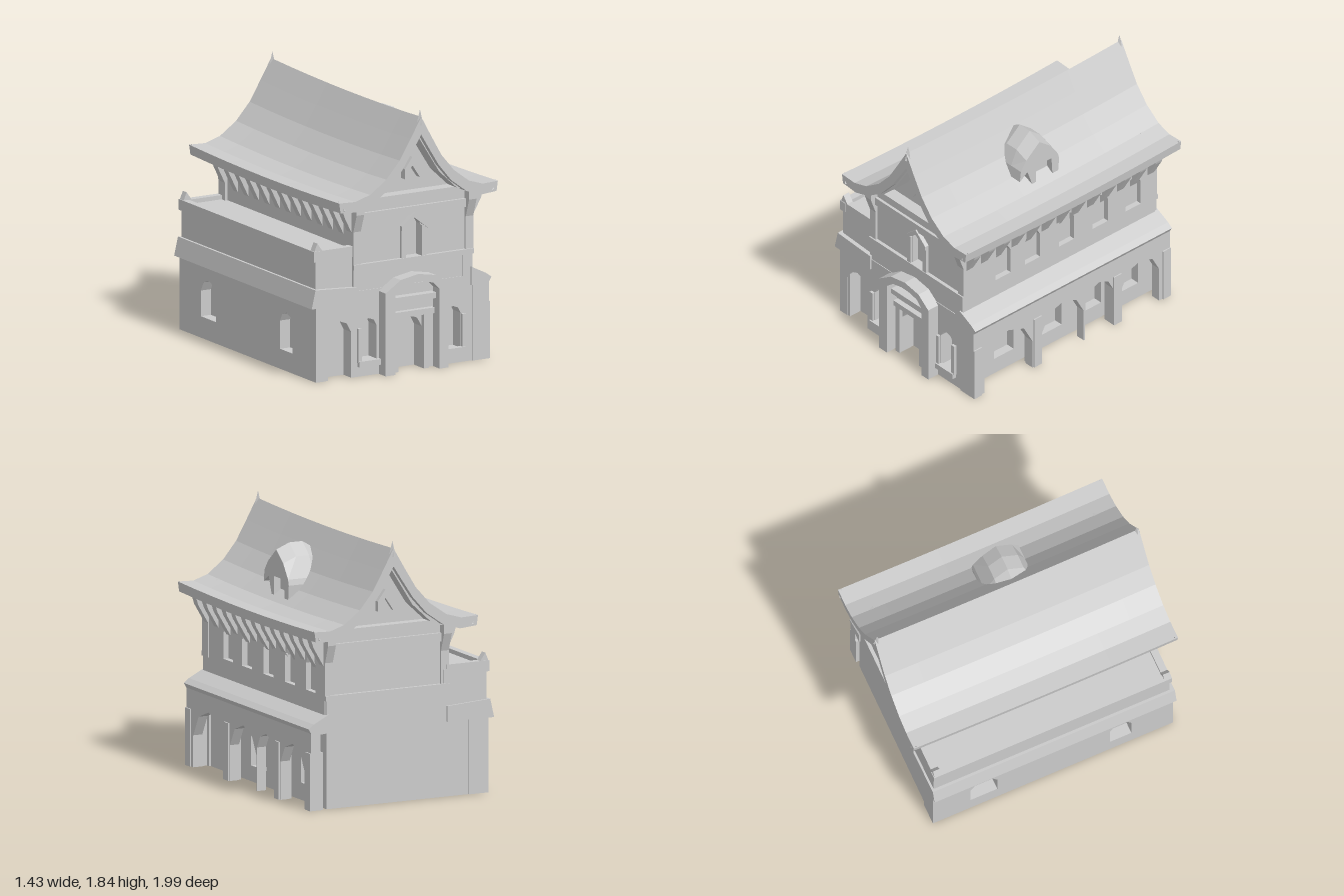
import * as THREE from 'three';

const mat = new THREE.MeshStandardMaterial({ color: 0xcccccc, flatShading: true, side: THREE.DoubleSide });

export function createModel() {
  const root = new THREE.Group();

  const add = (name, geo) => {
    const m = new THREE.Mesh(geo, mat);
    m.name = name;
    root.add(m);
    return m;
  };
  // Box given by its limits
  const box = (name, x0, x1, y0, y1, z0, z1) => {
    const g = new THREE.BoxGeometry(x1 - x0, y1 - y0, z1 - z0);
    g.translate((x0 + x1) / 2, (y0 + y1) / 2, (z0 + z1) / 2);
    return add(name, g);
  };
  const toShape = pts => new THREE.Shape(pts.map(p => new THREE.Vector2(...p)));
  // Outline in x,y drawn out between two z values
  const prism = (name, pts, z0, z1, steps = 1) => {
    const g = new THREE.ExtrudeGeometry(toShape(pts), { depth: z1 - z0, steps, bevelEnabled: false });
    g.translate(0, 0, z0);
    return add(name, g);
  };
  // Move the vertices of a mesh by a rule for y
  const reshape = (mesh, rule) => {
    const p = mesh.geometry.attributes.position;
    for (let i = 0; i < p.count; i++) p.setY(i, rule(p.getY(i), p.getZ(i)));
    return mesh;
  };
  // Arch outline: centre, half width, foot and crown height
  const arch = (c, w, y0, y1) => [
    [c - w, y0], [c - w, y1 - 0.9 * w], [c - 0.65 * w, y1 - 0.25 * w], [c, y1],
    [c + 0.65 * w, y1 - 0.25 * w], [c + w, y1 - 0.9 * w], [c + w, y0]];
  // Wall slab with doorways cut from its foot and window holes.
  // Side 0 faces +z, 1 faces +x (u = -z), -1 faces -x (u = z).
  const wall = (name, side, [u0, u1, y0, y1], from, to, doors, windows) => {
    const s = toShape([[u0, y0], ...doors.flatMap(d => arch(...d)), [u1, y0], [u1, y1], [u0, y1]]);
    s.holes = windows.map(w => toShape(arch(...w)));
    const g = new THREE.ExtrudeGeometry(s, { depth: to - from, bevelEnabled: false });
    g.translate(0, 0, from);
    g.rotateY(side * Math.PI / 2);
    return add(name, g);
  };

  // Ground floor
  box('groundFloorCore', -0.6, 0.5, 0, 0.77, -0.89, 0.79);
  wall('frontGroundWall', 0, [-0.68, 0.58, 0, 0.6], 0.78, 0.89,
    [[-0.5, 0.1, 0, 0.41], [0.06, 0.1, 0, 0.38]],
    [[-0.26, 0.06, 0.11, 0.4], [0.41, 0.06, 0.1, 0.4]]);
  box('frontUpperBand', -0.38, 0.57, 0.58, 0.77, 0.78, 0.885);
  wall('sideGroundWall', 1, [-0.89, 0.89, 0, 0.77], 0.49, 0.565, [],
    [[-0.51, 0.09, 0.12, 0.41], [-0.09, 0.11, 0.11, 0.41], [0.31, 0.07, 0.12, 0.4], [0.62, 0.1, 0.12, 0.41]]);

  // Arcade along the left side, closed at the front, with its lean-to roof
  wall('arcade', 1, [-0.9, 0.9, 0, 0.57], 0.62, 0.69,
    [[-0.58, 0.22, 0, 0.42], [-0.08, 0.19, 0, 0.42], [0.25, 0.13, 0, 0.42], [0.63, 0.17, 0, 0.42]], []);
  box('arcadeFrontPier', 0.56, 0.69, 0, 0.57, 0.81, 0.9);
  prism('arcadeRoof', [[0.55, 0.53], [0.68, 0.52], [0.71, 0.57], [0.67, 0.6], [0.55, 0.66]], -0.9, 0.9);
  for (const z of [0.865, 0.315, -0.415, -0.865]) box('arcadePillar', 0.6, 0.7, 0, 0.4, z - 0.035, z + 0.035);

  // Front porch and door surround
  prism('porch', [
    [-0.18, 0], [-0.1, 0], [-0.1, 0.56], [-0.04, 0.61], [0.08, 0.635], [0.2, 0.61], [0.25, 0.56], [0.25, 0],
    [0.32, 0], [0.32, 0.58], [0.22, 0.66], [0.08, 0.685], [-0.06, 0.66], [-0.18, 0.58]], 0.86, 0.98);
  box('doorLintel', -0.09, 0.24, 0.38, 0.42, 0.88, 0.93);
  box('porchBeam', -0.09, 0.24, 0.49, 0.53, 0.88, 0.95);
  for (const x of [-0.06, 0.18]) box('doorJamb', x - 0.02, x + 0.02, 0, 0.39, 0.88, 0.92);
  for (const x of [-0.34, 0.33, 0.49]) box('windowPost', x - 0.015, x + 0.015, 0.1, 0.34, 0.88, 0.91);
  for (const x of [-0.26, 0.41]) box('windowSill', x - 0.09, x + 0.09, 0.07, 0.11, 0.88, 0.92);

  // Annex on the right side, with cornice and parapet
  wall('annexGroundWall', -1, [-0.9, 0.885, 0, 0.6], 0.58, 0.68, [],
    [[-0.52, 0.1, 0.15, 0.42], [0.5, 0.08, 0.14, 0.41]]);
  box('annexBackPier', -0.68, -0.53, 0, 0.6, -0.9, -0.85);
  box('annexUpper', -0.67, -0.34, 0.58, 0.885, -0.89, 0.87);
  prism('annexCornice', [[-0.72, 0.52], [-0.36, 0.52], [-0.36, 0.63], [-0.69, 0.65]], -0.905, 0.9);
  box('parapetSide', -0.69, -0.64, 0.84, 0.915, -0.895, 0.88);
  for (const z of [-0.865, 0.85]) {
    box('parapetEnd', -0.68, -0.36, 0.84, 0.915, z - 0.025, z + 0.025);
    prism('parapetPeak', [[-0.69, 0.9], [-0.61, 0.9], [-0.66, 0.97]], z - 0.025, z + 0.025);
  }

  // Upper floor and gable
  const gable = [[-0.32, 0.7], [0.53, 0.7], [0.53, 1.21], [0.36, 1.3], [0.22, 1.46], [0.1, 1.68],
    [-0.02, 1.46], [-0.16, 1.3], [-0.32, 1.21]];
  prism('upperCore', gable, -0.84, 0.82);
  wall('upperFrontWall', 0, [-0.35, 0.56, 0.75, 1.22], 0.81, 0.87, [], [[0.1, 0.06, 0.78, 1.06]]);
  wall('upperLeftWall', 1, [-0.87, 0.87, 0.64, 1.22], 0.52, 0.57, [],
    [-0.52, -0.25, 0.06, 0.37, 0.67].map(c => [c, 0.07, 0.78, 1.03]));
  box('upperRightWall', -0.36, -0.31, 0.75, 1.22, -0.87, 0.87);
  box('upperBackWall', -0.35, 0.56, 0.75, 1.22, -0.87, -0.83);
  for (const s of [1, -1]) {
    // Parts shared by both gable ends, from one z distance to another
    const end = (a, b) => s > 0 ? [a, b] : [-b, -a];
    box('floorLedge', -0.38, 0.575, 0.75, 0.785, ...end(0.8, 0.895));
    box('lowerBeam', -0.35, 0.575, 1.08, 1.14, ...end(0.8, 0.89));
    box('gableBeam', -0.38, 0.6, 1.2, 1.24, ...end(0.8, 0.91));
    for (const x of [-0.35, 0.545]) {
      box('cornerPost', x - 0.03, x + 0.03, 0.76, 1.2, ...end(0.8, 0.885));
      const corbel = [[0.86, 1.0], [0.88, 1.0], [0.93, 1.14], [0.93, 1.21], [0.86, 1.21]];
      const m = prism('cornerCorbel', corbel.map(([z, y]) => [-s * z, y]), x - 0.03, x + 0.03);
      m.rotation.y = Math.PI / 2;
    }
    for (const m of [1, -1]) {
      const mirror = ([x, y]) => [0.1 + m * x, y];
      const rake = [[0, 1.72], [0.1, 1.55], [0.21, 1.4], [0.34, 1.3], [0.5, 1.24],
        [0.5, 1.19], [0.31, 1.24], [0.17, 1.37], [0, 1.64]];
      prism('rakeBoard', rake.map(mirror), ...end(0.82, 0.94));
      const strut = [[0, 1.42], [0, 1.48], [0.06, 1.4], [0.06, 1.33]];
      prism('gableStrut', strut.map(mirror), ...end(0.8, 0.87));
    }
  }
  for (const x of [0.02, 0.18]) box('frontWindowPost', x - 0.018, x + 0.018, 0.78, 1.0, 0.86, 0.89);
  prism('frontWindowHood', [[0, 0.98], [0.1, 1.06], [0.2, 0.98], [0.2, 1.01], [0.1, 1.1], [0, 1.01]], 0.86, 0.9);

  // Eave brackets down both long sides
  const flare = [[0, 0.95], [0.03, 1.0], [0.1, 1.12], [0.13, 1.21], [0, 1.21]];
  for (let i = 0; i < 13; i++) {
    const z = -0.83 + i * 1.66 / 12;
    prism('leftBracket', flare.map(([x, y]) => [0.55 + x, y]), z - 0.03, z + 0.03);
    prism('rightBracket', flare.map(([x, y]) => [-0.35 - x * 0.85, y]), z - 0.03, z + 0.03);
  }
  prism('leftEaveBeam', [[0.55, 1.08], [0.61, 1.14], [0.66, 1.21], [0.55, 1.21]], -0.86, 0.86);
  prism('rightEaveBeam', [[-0.34, 1.08], [-0.39, 1.14], [-0.44, 1.21], [-0.34, 1.21]], -0.86, 0.86);

  // Concave roof with a slightly sagging ridge
  const top = [[0.08, 1.64], [0.16, 1.5], [0.26, 1.38], [0.38, 1.29], [0.49, 1.255], [0.61, 1.26]];
  const under = [[0.6, 1.19], [0.48, 1.18], [0.36, 1.22], [0.24, 1.31], [0.14, 1.43], [0.06, 1.56]];
  const right = ([x, y]) => [0.1 + x, y];
  const left = ([x, y]) => [0.1 - x * 1.07, y];
  const roof = prism('roof', [[0.1, 1.785], ...top.map(right), ...under.map(right), [0.1, 1.66],
    ...[...under].reverse().map(left), ...[...top].reverse().map(left)], -0.985, 0.985, 8);
  reshape(roof, (y, z) => y - 0.02 * (1 - z * z));
  for (const s of [1, -1]) {
    add('ridgeTip', new THREE.ConeGeometry(0.028, 0.11, 4)).position.set(0.1, 1.78, s * 0.968);
    for (const x of [-0.53, 0.69]) {
      const tip = add('eaveTip', new THREE.ConeGeometry(0.028, 0.08, 4));
      tip.position.set(x, 1.235, s * 0.965);
      tip.rotation.z = x > 0 ? -0.5 : 0.5;
    }
  }

  // Dormer on the left roof slope (u = -z), its peak dipping at both ends
  const hood = [[-0.13, 1.28], [-0.18, 1.42], [-0.25, 1.37], [-0.24, 1.45], [-0.19, 1.56], [-0.07, 1.66],
    [0.03, 1.58], [0.1, 1.44], [0.11, 1.4], [0.1, 1.28], [0.05, 1.28], [0.04, 1.43], [-0.1, 1.43], [-0.1, 1.28]];
  const dormer = prism('dormerHood', hood, 0.14, 0.44, 3);
  reshape(dormer, (y, x) => y > 1.5 ? y - (x > 0.4 ? 0.04 : x < 0.2 ? 0.06 : 0) : y);
  dormer.rotation.y = Math.PI / 2;
  box('dormerBack', 0.2, 0.39, 1.26, 1.45, -0.06, 0.12);

  return root;
}
